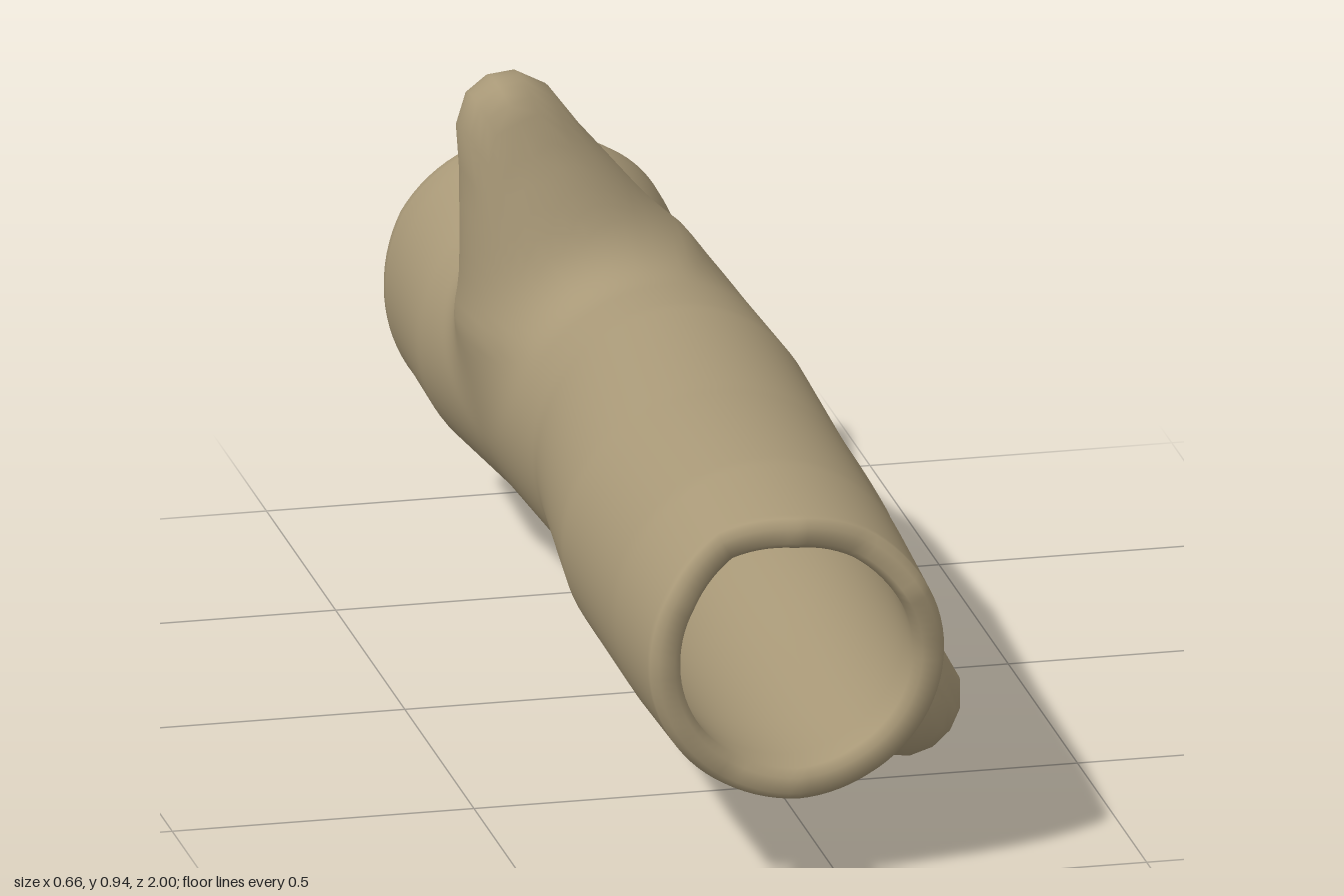
import * as THREE from 'three';

const SEGS = 84, OUTER_ROWS = 120, INNER_ROWS = 24;

// Trunk sections: z, centre x, centre y, half width, half height
const SECTIONS = [
  [-1.0, -0.073, 0.388, 0.244, 0.256],
  [-0.9, -0.075, 0.39, 0.243, 0.254],
  [-0.7, -0.088, 0.376, 0.232, 0.23],
  [-0.38, -0.055, 0.394, 0.242, 0.24],
  [0.0, -0.048, 0.409, 0.236, 0.248],
  [0.37, -0.07, 0.397, 0.255, 0.246],
  [0.75, -0.077, 0.398, 0.25, 0.25],
  [1.0, -0.074, 0.386, 0.243, 0.235],
];

// Broken ends: z of the rim every 30 degrees, counted from +x towards +y
const FRONT_RIM = [0.99, 1, 0.98, 0.985, 0.95, 0.98, 0.99, 0.99, 0.985, 1, 0.99, 0.99];
const BACK_RIM = [-0.94, -0.97, -0.925, -0.915, -0.95, -0.97, -0.96, -0.96, -0.97, -1, -0.985, -0.95];

// Branch stubs: tapered round-ended cones growing out of the trunk
const STUBS = [
  { root: [-0.138, 0.585, -0.385], tip: [-0.238, 0.853, -0.385], r0: 0.19, r1: 0.087 },
  { root: [0.07, 0.26, 0.385], tip: [0.23, 0.102, 0.385], r0: 0.188, r1: 0.102 },
].map((s) => ({ ...s, root: new THREE.Vector3(...s.root), tip: new THREE.Vector3(...s.tip) }));

function sectionAt(z) {
  let i = 0;
  while (i < SECTIONS.length - 2 && z > SECTIONS[i + 1][0]) i++;
  const a = SECTIONS[i], b = SECTIONS[i + 1];
  const t = (z - a[0]) / (b[0] - a[0]);
  return a.slice(1).map((v, k) => THREE.MathUtils.lerp(v, b[k + 1], t));
}

function rimAt(table, angle) {
  const f = (angle / (Math.PI * 2)) * 12, i = Math.floor(f);
  return THREE.MathUtils.lerp(table[i % 12], table[(i + 1) % 12], f - i);
}

function smoothMin(a, b, k) {
  const h = Math.max(k - Math.abs(a - b), 0) / k;
  return Math.min(a, b) - h * h * k * 0.25;
}

function stubDistance(p, s) {
  const axis = s.tip.clone().sub(s.root);
  const t = THREE.MathUtils.clamp(p.clone().sub(s.root).dot(axis) / axis.lengthSq(), 0, 1);
  return p.distanceTo(s.root.clone().addScaledVector(axis, t)) - THREE.MathUtils.lerp(s.r0, s.r1, t);
}

// Bark surface: trunk blended with the stubs, found along a ray from the axis
function barkPoint(angle, z) {
  const [cx, cy, rx, ry] = sectionAt(z);
  const c = Math.cos(angle), s = Math.sin(angle);
  const trunkR = 1 / Math.hypot(c / rx, s / ry);
  const near = STUBS.filter((b) => Math.abs(z - b.root.z) < 0.45);
  const p = new THREE.Vector3();
  let lo = 0.1, hi = 0.75;
  for (let i = 0; i < 22; i++) {
    const r = (lo + hi) / 2;
    p.set(cx + c * r, cy + s * r, z);
    let d = r - trunkR;
    for (const b of near) d = smoothMin(d, stubDistance(p, b), 0.1);
    if (d < 0) lo = r; else hi = r;
  }
  return p;
}

// Point on the trunk at a depth below the bark
function wallPoint(angle, z, depth) {
  const [cx, cy, rx, ry] = sectionAt(z);
  return new THREE.Vector3(cx + Math.cos(angle) * (rx - depth), cy + Math.sin(angle) * (ry - depth), z);
}

function hollowLogGeometry() {
  const rows = [];
  // Bark, front to back
  for (let i = 0; i <= OUTER_ROWS; i++) {
    const t = i / OUTER_ROWS;
    rows.push((a) => barkPoint(a, THREE.MathUtils.lerp(rimAt(FRONT_RIM, a) - 0.012, rimAt(BACK_RIM, a) + 0.012, t)));
  }
  // Back rim
  rows.push((a) => wallPoint(a, rimAt(BACK_RIM, a), 0.01));
  rows.push((a) => wallPoint(a, rimAt(BACK_RIM, a), 0.026));
  // Hollow, back to front, with a thicker wall at the front
  for (let i = 0; i <= INNER_ROWS; i++) {
    const t = i / INNER_ROWS;
    const depth = 0.036 + 0.015 * t ** 4;
    rows.push((a) => wallPoint(a, THREE.MathUtils.lerp(rimAt(BACK_RIM, a) + 0.015, rimAt(FRONT_RIM, a) - 0.015, t), depth));
  }
  // Front rim
  rows.push((a) => wallPoint(a, rimAt(FRONT_RIM, a), 0.038));
  rows.push((a) => wallPoint(a, rimAt(FRONT_RIM, a), 0.012));

  const positions = [], index = [];
  rows.forEach((row, i) => {
    const next = (i + 1) % rows.length;
    for (let j = 0; j < SEGS; j++) {
      positions.push(...row((j / SEGS) * Math.PI * 2).toArray());
      const k = (j + 1) % SEGS;
      const a = i * SEGS + j, b = i * SEGS + k, c = next * SEGS + j, d = next * SEGS + k;
      index.push(a, c, b, b, c, d);
    }
  });
  const geometry = new THREE.BufferGeometry();
  geometry.setAttribute('position', new THREE.Float32BufferAttribute(positions, 3));
  geometry.setIndex(index);
  geometry.computeVertexNormals();
  return geometry;
}

export function createModel() {
  const wood = new THREE.MeshStandardMaterial({ color: 0xa89877 });
  wood.name = 'wood';
  const log = new THREE.Mesh(hollowLogGeometry(), wood);
  log.name = 'hollowLog';
  const group = new THREE.Group();
  group.name = 'log';
  group.add(log);
  return group;
}
